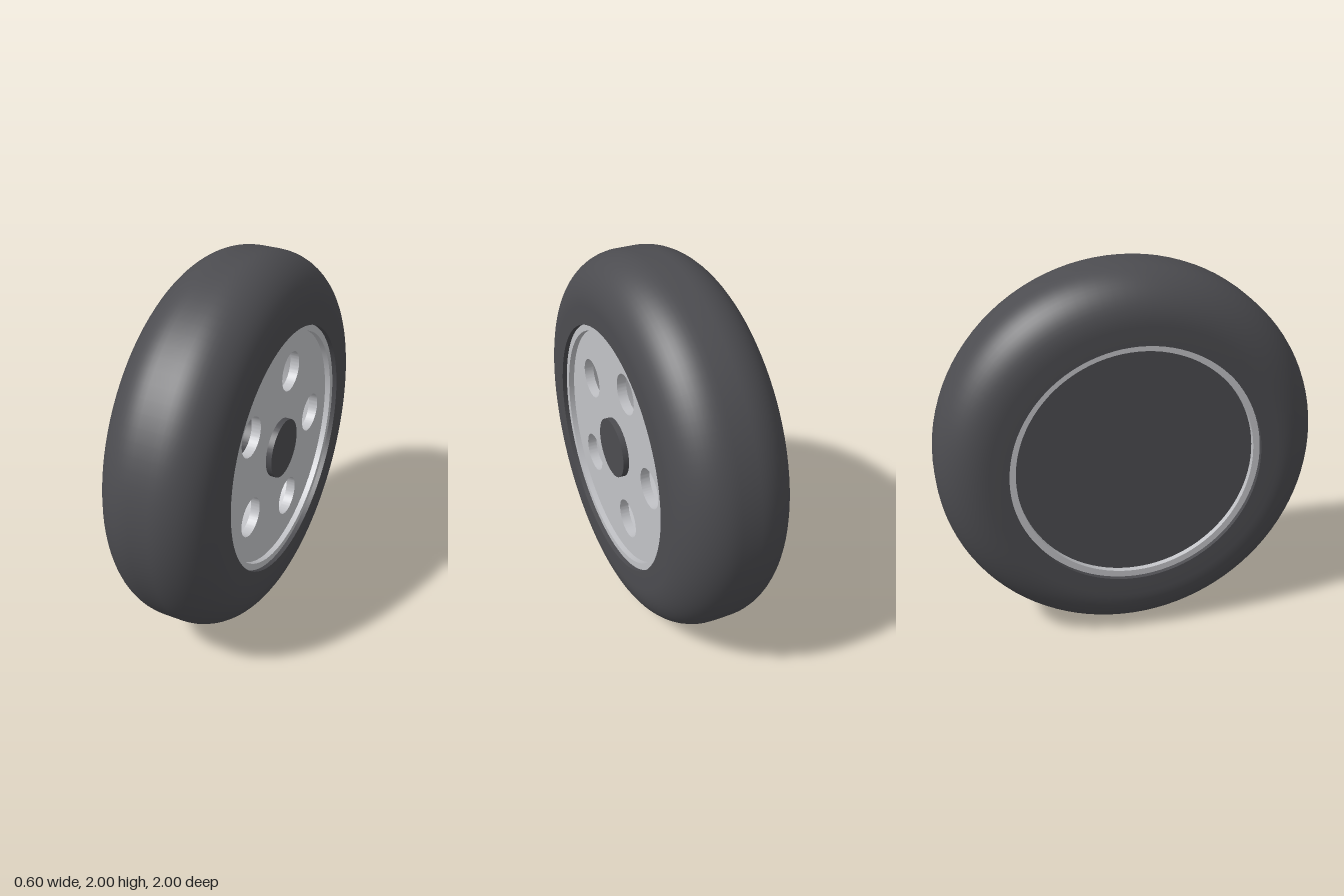
import * as THREE from 'three';
import { toCreasedNormals } from 'three/addons/utils/BufferGeometryUtils.js';

const SEGMENTS = 96;

// Revolve a [radius, x] profile around the x axis, keeping hard edges sharp
function revolve(profile) {
  const points = profile.map(([r, x]) => new THREE.Vector2(r, x));
  const geometry = new THREE.LatheGeometry(points, SEGMENTS).rotateZ(-Math.PI / 2);
  return toCreasedNormals(geometry, 0.5);
}

export function createModel() {
  const rubber = new THREE.MeshStandardMaterial({ color: 0x4c4c50 });
  rubber.name = 'dark rubber';
  const metal = new THREE.MeshStandardMaterial({ color: 0xc2c3c7 });
  metal.name = 'light metal';

  const wheel = new THREE.Group();
  wheel.name = 'wheel';
  wheel.position.y = 1;

  const add = (name, geometry, material) => {
    const mesh = new THREE.Mesh(geometry, material);
    mesh.name = name;
    wheel.add(mesh);
  };

  // Tyre: flat sidewalls, rounded shoulders, narrow flat tread
  const shoulder = 0.25, steps = 14;
  const tyre = [[0.655, -0.3]];
  for (const side of [-1, 1]) {
    for (let i = 0; i <= steps; i++) {
      const t = (side < 0 ? i : steps - i) / steps * Math.PI / 2;
      tyre.push([0.75 + shoulder * Math.sin(t), side * (0.05 + shoulder * Math.cos(t))]);
    }
  }
  tyre.push([0.655, 0.3], [0.655, -0.3]);
  add('tyre', revolve(tyre), rubber);

  // Rim barrel, slightly recessed in the tyre on both sides
  add('rimBarrel', revolve([
    [0.655, -0.275], [0.655, 0.275], [0.62, 0.275], [0.62, -0.275], [0.655, -0.275],
  ]), metal);

  // Outer wheel disc with five round holes
  const face = new THREE.Shape().absarc(0, 0, 0.621, 0, Math.PI * 2, false);
  for (let i = 0; i < 5; i++) {
    const a = i / 5 * Math.PI * 2;
    const hole = new THREE.Path();
    hole.absarc(0.405 * Math.cos(a), 0.405 * Math.sin(a), 0.105, 0, Math.PI * 2, true);
    face.holes.push(hole);
  }
  const disc = new THREE.ExtrudeGeometry(face, { depth: 0.05, bevelEnabled: false, curveSegments: 48 });
  disc.rotateY(Math.PI / 2).translate(0.195, 0, 0);
  add('wheelDisc', toCreasedNormals(disc, 0.5), metal);

  // Dark plate closing the inner side
  add('backPlate', revolve([[0, -0.245], [0.621, -0.245], [0.621, -0.205], [0, -0.205]]), rubber);

  // Central hub standing proud of the disc
  add('hub', revolve([[0, -0.22], [0.157, -0.22], [0.157, 0.276], [0, 0.276]]), rubber);

  const model = new THREE.Group();
  model.name = 'wheelModel';
  model.add(wheel);
  return model;
}
